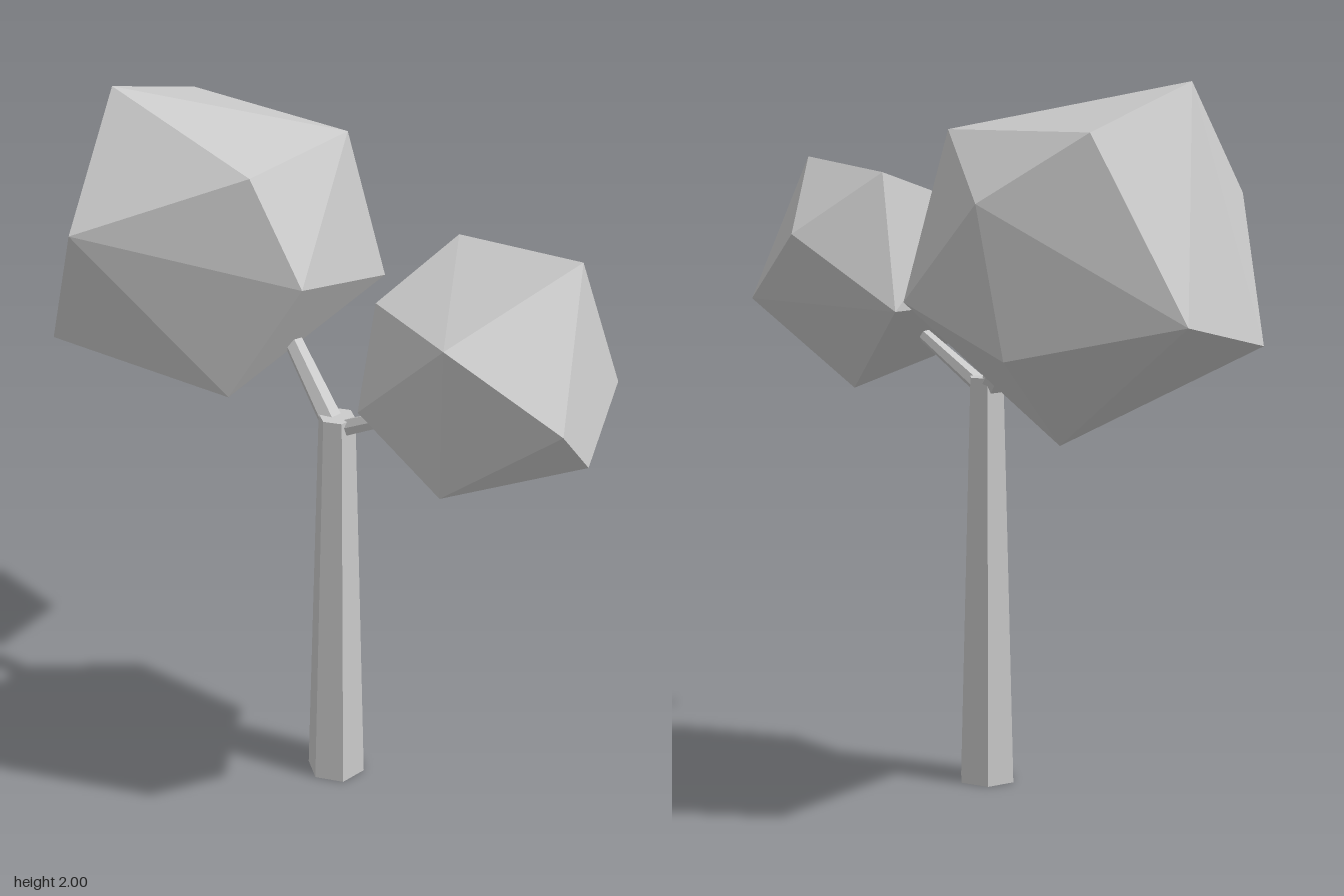
import * as THREE from 'three';
import { ConvexGeometry } from 'three/addons/geometries/ConvexGeometry.js';

const material = new THREE.MeshStandardMaterial({ color: 0xcccccc, flatShading: true });
const vec = (p) => new THREE.Vector3(...p);

// Tapered six-sided limb between two points
function limb(name, from, to, r0, r1) {
  const a = vec(from), b = vec(to);
  const axis = b.clone().sub(a);
  const mesh = new THREE.Mesh(new THREE.CylinderGeometry(r1, r0, axis.length(), 6), material);
  mesh.name = name;
  mesh.position.copy(a).add(b).multiplyScalar(0.5);
  mesh.quaternion.setFromUnitVectors(new THREE.Vector3(0, 1, 0), axis.normalize());
  return mesh;
}

// Faceted irregular foliage mass spanned by its corner points
function crown(name, corners) {
  const mesh = new THREE.Mesh(new ConvexGeometry(corners.map(vec)), material);
  mesh.name = name;
  return mesh;
}

export function createModel() {
  const tree = new THREE.Group();
  tree.name = 'tree';

  // Trunk and its two forking branches
  tree.add(limb('trunk', [0.017, 0, 0.05], [0.017, 1.175, 0.05], 0.086, 0.053));
  tree.add(limb('largeBranch', [0.01, 1.14, 0.04], [-0.065, 1.33, -0.125], 0.035, 0.028));
  tree.add(limb('smallBranch', [0.025, 1.14, 0.06], [0.19, 1.27, 0.26], 0.026, 0.02));

  // Large crown, back right
  tree.add(crown('largeCrown', [
    [-0.495, 2.0, -0.455],
    [0.13, 1.875, -0.29], [-0.21, 1.875, 0.005], [-0.21, 1.875, -0.76],
    [-0.675, 1.7, -0.14], [0.07, 1.7, -0.735], [-0.09, 1.58, 0.092],
    [0.25, 1.42, -0.32], [-0.45, 1.4, -0.825],
    [-0.705, 1.305, -0.37], [0.0, 1.305, -0.715], [-0.275, 1.235, -0.015],
    [-0.16, 1.05, -0.435],
  ]));

  // Small crown, front left
  tree.add(crown('smallCrown', [
    [0.535, 1.78, 0.53], [0.31, 1.745, 0.195],
    [0.125, 1.65, 0.69], [0.045, 1.64, 0.345], [0.57, 1.57, 0.18],
    [0.4, 1.445, 0.82], [0.7, 1.368, 0.4], [-0.015, 1.36, 0.4], [0.275, 1.355, 0.09],
    [0.52, 1.28, 0.69], [0.16, 1.175, 0.575],
    [0.4, 1.1, 0.4],
  ]));

  return tree;
}
